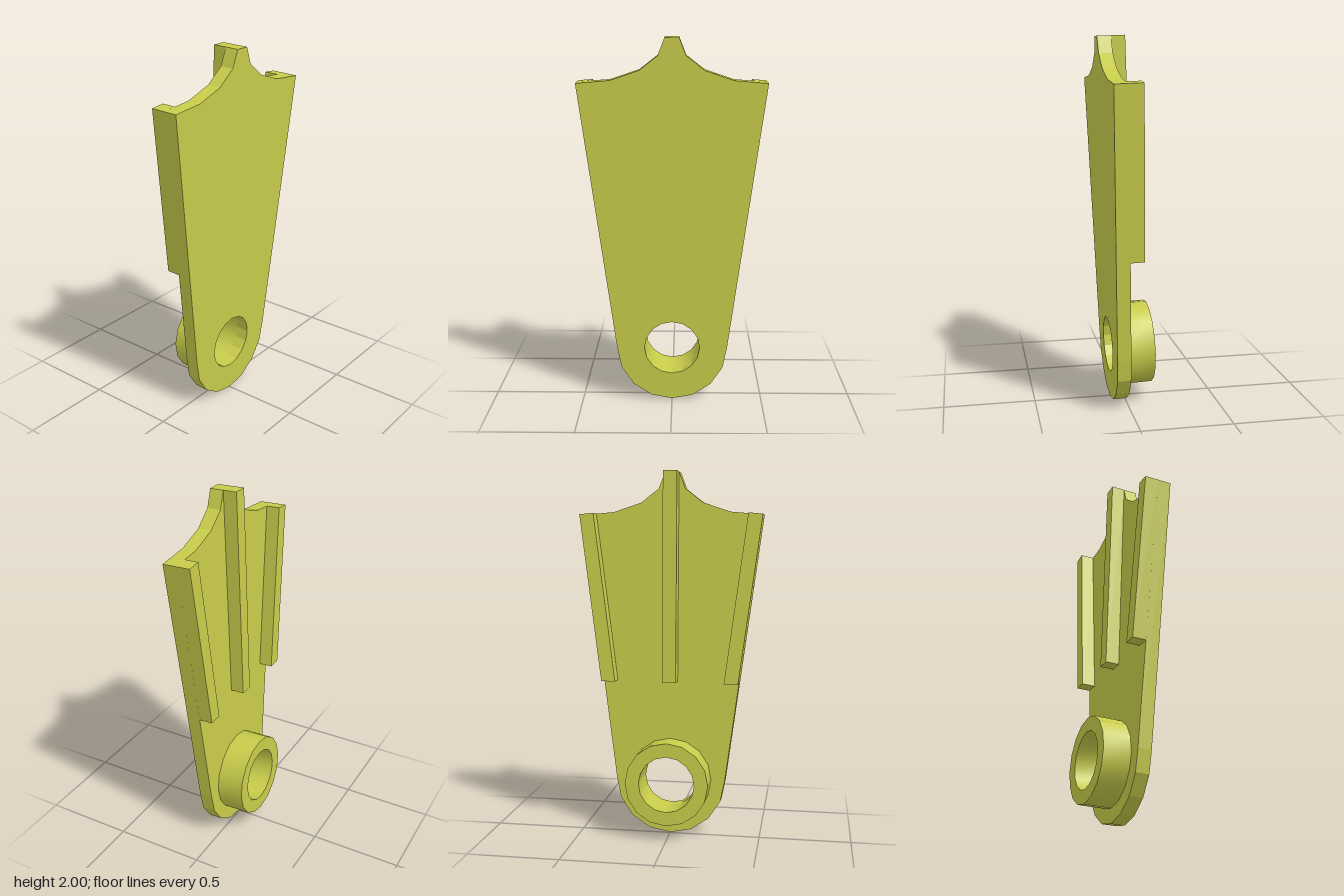
import * as THREE from 'three';
import { toCreasedNormals } from 'three/addons/utils/BufferGeometryUtils.js';

const T = 0.0745;        // plate thickness, also the rib height
const EYE_Y = 0.31;      // height of the bore centre
const BORE = 0.153;
const RIB_BOTTOM = 0.86;

export function createModel() {
  const model = new THREE.Group();
  const body = new THREE.Group();
  body.name = 'bracket';
  body.rotation.x = THREE.MathUtils.degToRad(2);   // slight forward lean
  body.position.y = 0.0026;
  model.add(body);

  const material = new THREE.MeshStandardMaterial({ color: 0xc8cc4a });
  const add = (name, geometry) => {
    const mesh = new THREE.Mesh(geometry, material);
    mesh.name = name;
    body.add(mesh);
  };
  const vectors = (list) => list.map(([x, y]) => new THREE.Vector2(x, y));
  const extrude = (shape, z) =>
    new THREE.ExtrudeGeometry(shape, { depth: T, bevelEnabled: false, curveSegments: 8 }).translate(0, 0, z);

  // Tapered plate: round lower end, scalloped top rising to a central tip
  const right = [];
  for (let i = 0; i <= 8; i++) {
    const a = -Math.PI / 2 + (i * Math.PI) / 16;
    if (i % 2 === 0) right.push([0.305 * Math.cos(a), EYE_Y + 0.308 * Math.sin(a)]);
  }
  right.push([0.497, 1.77], [0.32, 1.785], [0.17, 1.835], [0.073, 1.91], [0.038, 2]);
  const left = right.slice(1).reverse().map(([x, y]) => [-x, y]);
  const plate = new THREE.Shape(vectors([...right, ...left]));
  plate.holes.push(new THREE.Path().absarc(0, EYE_Y, BORE, 0, Math.PI * 2, true));
  add('plate', extrude(plate, 0));

  // Hollow boss on the back, around the bore
  const ring = vectors([[BORE, 0], [0.229, 0], [0.229, 2 * T], [BORE, 2 * T], [BORE, 0]]);
  const boss = new THREE.LatheGeometry(ring, 16).rotateX(-Math.PI / 2).translate(0, EYE_Y, 0);
  add('boss', toCreasedNormals(boss, 0.6));

  // Three ribs on the back: one upright, two following the tapered edges
  const ribs = {
    centreRib: [[-0.038, RIB_BOTTOM], [0.038, RIB_BOTTOM], [0.038, 2], [-0.038, 2]],
    leftRib: [[0.3, RIB_BOTTOM], [0.377, RIB_BOTTOM], [0.497, 1.77], [0.42, 1.777]],
  };
  ribs.rightRib = ribs.leftRib.map(([x, y]) => [-x, y]).reverse();
  for (const [name, outline] of Object.entries(ribs)) {
    add(name, extrude(new THREE.Shape(vectors(outline)), -T));
  }

  return model;
}
